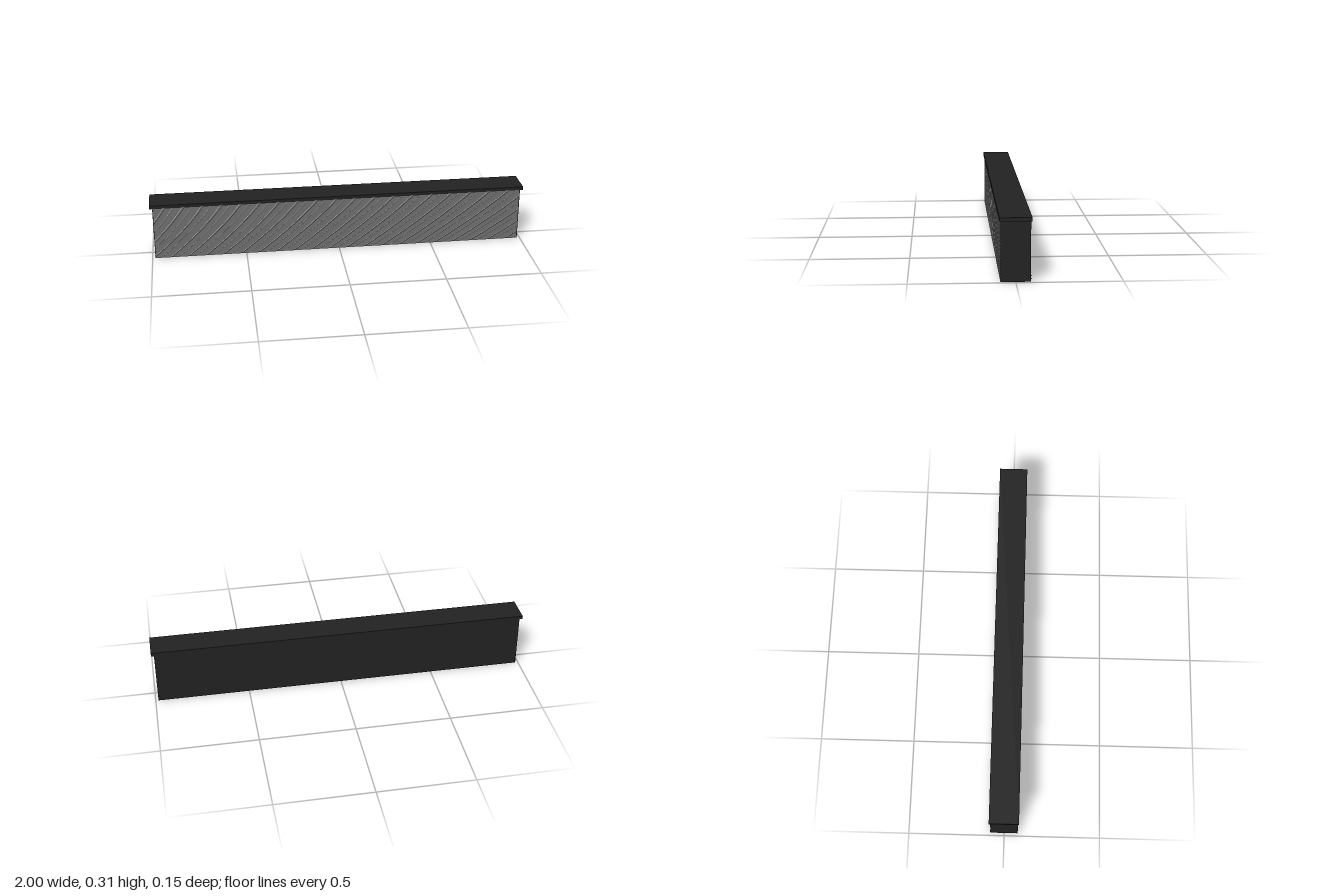
import * as THREE from 'three';

const DARK = new THREE.MeshStandardMaterial({ color: 0x222222 });
const LIGHT = new THREE.MeshStandardMaterial({ color: 0xb8b8b8 });

// Box given by its lower and upper corners
function block(name, min, max, material) {
  const size = max.map((v, i) => v - min[i]);
  const mesh = new THREE.Mesh(new THREE.BoxGeometry(...size), material);
  mesh.position.set(...max.map((v, i) => (v + min[i]) / 2));
  mesh.name = name;
  return mesh;
}

export function createModel() {
  const model = new THREE.Group();
  model.name = 'louvredBeam';

  const halfLength = 0.985, halfDepth = 0.071, bodyTop = 0.288;

  // Long casing with an overhanging lid
  model.add(block('casing', [-halfLength, 0, -halfDepth], [halfLength, bodyTop, 0.067], DARK));
  model.add(block('lid', [-1, bodyTop, -0.076], [1, 0.306, 0.076], DARK));

  // Thin end plates frame the front grille
  for (const side of [-1, 1]) {
    const xs = [side * halfLength, side * (halfLength - 0.003)].sort((a, b) => a - b);
    model.add(block('endPlate', [xs[0], 0, 0.067], [xs[1], bodyTop, halfDepth], DARK));
  }

  // Fine horizontal slats across the front
  const grille = new THREE.Group();
  grille.name = 'grille';
  const count = 52, pitch = bodyTop / count;
  for (let i = 0; i < count; i++) {
    const y = i * pitch;
    grille.add(block('slat', [-halfLength + 0.003, y, 0.067],
      [halfLength - 0.003, y + pitch * 0.55, halfDepth], LIGHT));
  }
  model.add(grille);

  // Small paired clips low on both ends: pale at the front, dark at the back
  for (const side of [-1, 1]) {
    for (const y of [0.013, 0.027]) {
      const front = [side * halfLength, side * (halfLength + 0.001)].sort((a, b) => a - b);
      const back = [side * halfLength, side * (halfLength - 0.01)].sort((a, b) => a - b);
      model.add(block('frontClip', [front[0], y - 0.001, 0.067], [front[1], y + 0.001, halfDepth], LIGHT));
      model.add(block('backClip', [back[0], y - 0.001, -0.075], [back[1], y + 0.001, -halfDepth], DARK));
    }
  }
  return model;
}
